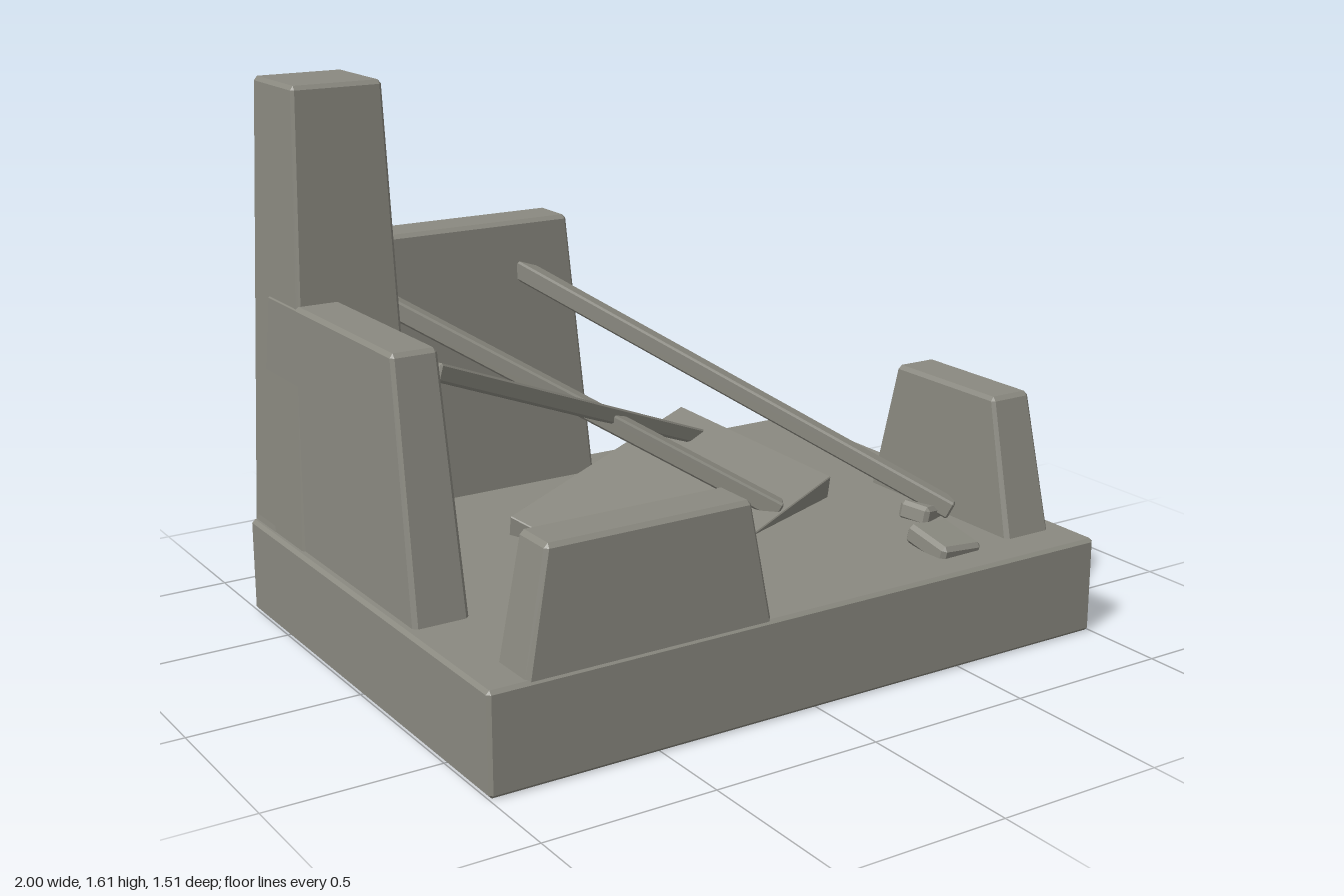
import * as THREE from 'three';
import { ConvexGeometry } from 'three/addons/geometries/ConvexGeometry.js';

const stone = new THREE.MeshStandardMaterial({ color: 0x8a8980 });
stone.name = 'weathered stone';

// Bevelled box centred on the origin; tx and tz scale the top against the bottom.
function bevelledBox(w, h, d, bevel, tx = 1, tz = 1) {
  const points = [];
  for (const sx of [-1, 1]) for (const sy of [-1, 1]) for (const sz of [-1, 1]) {
    for (let axis = 0; axis < 3; axis++) {
      const inset = [bevel, bevel, bevel];
      inset[axis] = 0;
      const p = new THREE.Vector3(
        sx * (w / 2 - inset[0]), sy * (h / 2 - inset[1]), sz * (d / 2 - inset[2]));
      const t = p.y / h + 0.5;
      p.x *= 1 + (tx - 1) * t;
      p.z *= 1 + (tz - 1) * t;
      points.push(p);
    }
  }
  return new ConvexGeometry(points);
}

export function createModel() {
  const model = new THREE.Group();
  model.name = 'ruin';

  function add(name, geometry, x = 0, y = 0, z = 0) {
    const mesh = new THREE.Mesh(geometry, stone);
    mesh.name = name;
    mesh.position.set(x, y, z);
    model.add(mesh);
    return mesh;
  }

  // Ground block
  add('base', bevelledBox(2, 0.287, 1.495, 0.01), 0, 0.1435, 0);

  // Standing masonry: centre x, z, bottom y, top y, bottom size, top size
  const masonry = [
    ['cornerTower', -0.8, -0.576, 0.2, 1.612, [0.37, 0.37], [0.272, 0.272]],
    ['backWall', -0.44, -0.666, 0.27, 1.13, [1.09, 0.156], [0.91, 0.146]],
    ['leftWall', -0.893, -0.22, 0.27, 1.0, [0.165, 1.045], [0.135, 0.81]],
    ['frontWall', -0.518, 0.664, 0.27, 0.627, [0.745, 0.156], [0.61, 0.14]],
    ['rightWall', 0.859, 0.3, 0.27, 0.69, [0.165, 0.645], [0.138, 0.435]],
  ];
  for (const [name, x, z, y0, y1, b, t] of masonry) {
    const geometry = bevelledBox(b[0], y1 - y0, b[1], 0.012, t[0] / b[0], t[1] / b[1]);
    add(name, geometry, x, (y0 + y1) / 2, z);
  }

  // Fallen beams running from the walls to the ground
  const beams = [
    ['leftBeam', [-0.82, 0.925, 0.14], [0.59, 0.315, -0.45], 0.05],
    ['towerBeam', [-0.66, 0.965, -0.535], [0.33, 0.315, 0.11], 0.056],
    ['rightBeam', [-0.15, 0.98, -0.62], [0.775, 0.31, 0.375], 0.056],
  ];
  for (const [name, from, to, size] of beams) {
    const a = new THREE.Vector3(...from), b = new THREE.Vector3(...to);
    const mid = a.clone().add(b).multiplyScalar(0.5);
    const beam = add(name, bevelledBox(size, size, a.distanceTo(b), 0.006), mid.x, mid.y, mid.z);
    beam.lookAt(b);
  }

  // Tilted slab, half sunk in the ground, laid out from its highest corner
  const corner = new THREE.Vector3(0.36, 0.49, -0.47);
  const along = new THREE.Vector3(0.78, 0.14, -0.28);
  const across = new THREE.Vector3(0.205, -0.13, 0.52);
  const length = along.length(), width = across.length(), thick = 0.095;
  const centre = corner.clone().addScaledVector(along, -0.5).addScaledVector(across, 0.5);
  const ux = along.normalize();
  const uy = across.clone().cross(ux).normalize();
  const uz = ux.clone().cross(uy);
  centre.addScaledVector(uy, -thick / 2);
  const slab = add('fallenSlab', bevelledBox(length, thick, width, 0.003), centre.x, centre.y, centre.z);
  slab.quaternion.setFromRotationMatrix(new THREE.Matrix4().makeBasis(ux, uy, uz));

  // Loose rubble: x, y, z, size, rotation
  const rubble = [
    [-0.175, 0.295, 0.06, [0.13, 0.05, 0.11], [0.1, 0.5, -0.08]],
    [0.58, 0.3, -0.16, [0.09, 0.06, 0.08], [0.15, 0.1, 0.1]],
    [0.7, 0.3, 0.32, [0.1, 0.06, 0.1], [0.1, 0.35, -0.2]],
    [0.585, 0.3, 0.56, [0.15, 0.06, 0.165], [0.2, 0.03, -0.1]],
    [0.385, 0.3, -0.455, [0.13, 0.06, 0.09], [0.15, -0.1, 0.1]],
  ];
  rubble.forEach(([x, y, z, size, rotation], i) => {
    add('rubble' + (i + 1), bevelledBox(...size, 0.012), x, y, z).rotation.set(...rotation);
  });

  return model;
}
